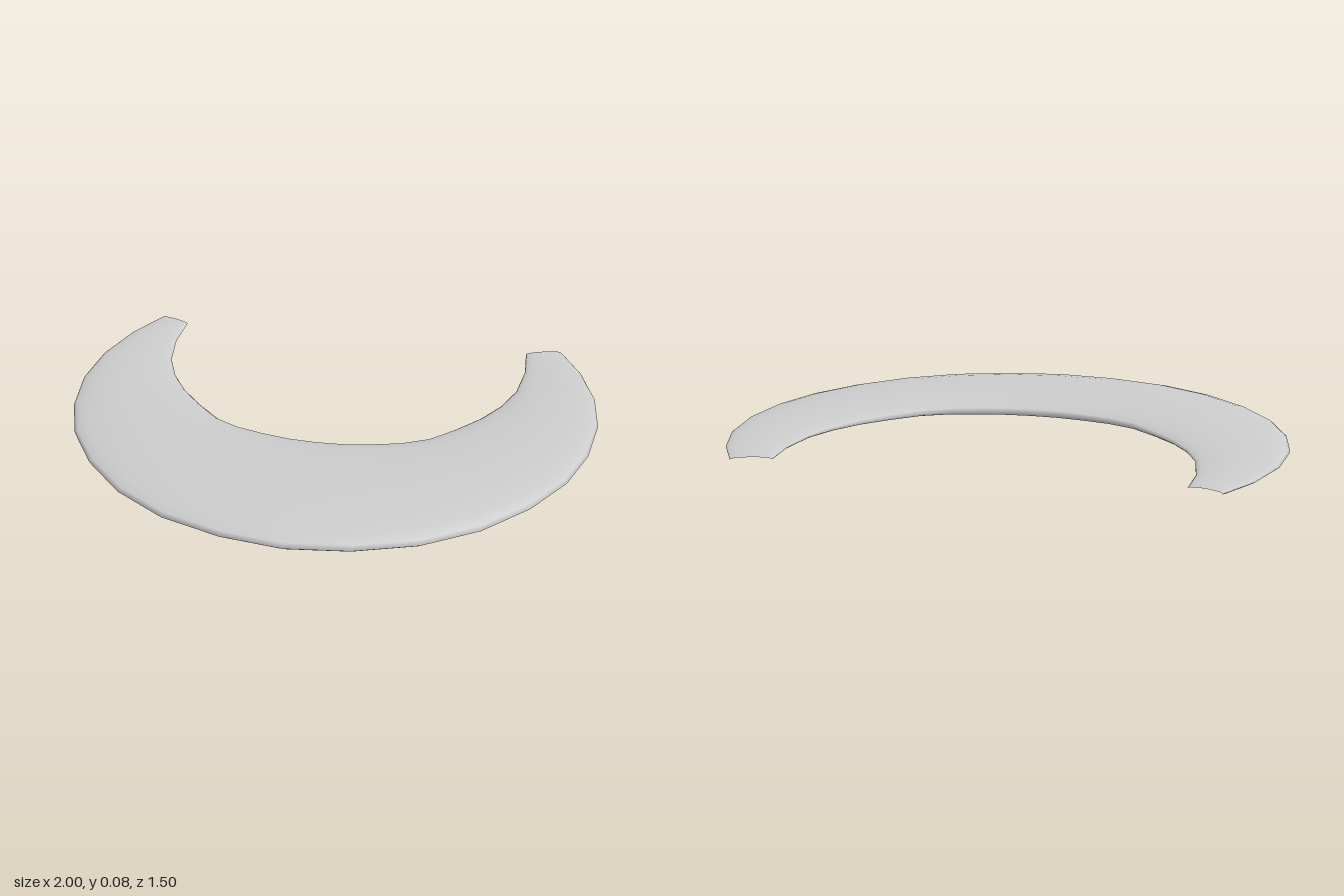
import * as THREE from 'three';

// Plan outline [x, z] from the middle of the crescent to one tip
const OUTER = [[0, .75], [.225, .722], [.445, .65], [.635, .53], [.79, .37], [.905, .19],
  [.972, 0], [1, -.21], [.98, -.41], [.918, -.6], [.833, -.755]];
const INNER = [[0, .095], [.1, .09], [.2, .072], [.3, .046], [.395, .0], [.49, -.09],
  [.575, -.185], [.642, -.29], [.69, -.41], [.712, -.567], [.705, -.715]];
const SIDES = 20;

// Elliptical cross-section at station i, from -10 (right tip) to 10 (left tip)
function section(i) {
  const s = i < 0 ? -1 : 1, k = Math.abs(i);
  const [ox, oz] = OUTER[k], [ix, iz] = INNER[k];
  const innerX = s * ix - 0.01;
  const cx = (s * ox + innerX) / 2, cz = (oz + iz) / 2;
  const t = (cz + 0.735) / 1.1575;
  const half = 0.008 + 0.034 * t, cy = 0.037 + 0.005 * t;
  const ring = [];
  for (let j = 0; j < SIDES; j++) {
    const a = (j / SIDES) * Math.PI * 2, c = Math.cos(a);
    ring.push([cx + (s * ox - cx) * c, cy + half * Math.sin(a), cz + (oz - cz) * c]);
  }
  return { ring, centre: [cx, cy, cz] };
}

function makeGeometry(positions, index) {
  const g = new THREE.BufferGeometry();
  g.setAttribute('position', new THREE.Float32BufferAttribute(positions.flat(), 3));
  g.setIndex(index);
  g.computeVertexNormals();
  return g;
}

export function createModel() {
  const group = new THREE.Group();
  group.name = 'crescent';
  const material = new THREE.MeshStandardMaterial({ color: 0xcccccc });
  const add = (name, geometry) => {
    const mesh = new THREE.Mesh(geometry, material);
    mesh.name = name;
    group.add(mesh);
  };

  // Smooth lens-shaped body lofted through the sections
  const sections = [];
  for (let i = -10; i <= 10; i++) sections.push(section(i));
  const index = [];
  for (let i = 0; i < sections.length - 1; i++) {
    for (let j = 0; j < SIDES; j++) {
      const n = (j + 1) % SIDES;
      const a = i * SIDES + j, b = i * SIDES + n, c = a + SIDES, d = b + SIDES;
      index.push(a, c, b, b, c, d);
    }
  }
  add('crescentBody', makeGeometry(sections.flatMap((s) => s.ring), index));

  // Flat end caps closing both horns
  const cap = (s, flip) => {
    const tri = [];
    for (let j = 0; j < SIDES; j++) {
      const n = (j + 1) % SIDES;
      tri.push(SIDES, flip ? n : j, flip ? j : n);
    }
    return makeGeometry([...s.ring, s.centre], tri);
  };
  add('rightTip', cap(sections[0], true));
  add('leftTip', cap(sections[sections.length - 1], false));
  return group;
}
